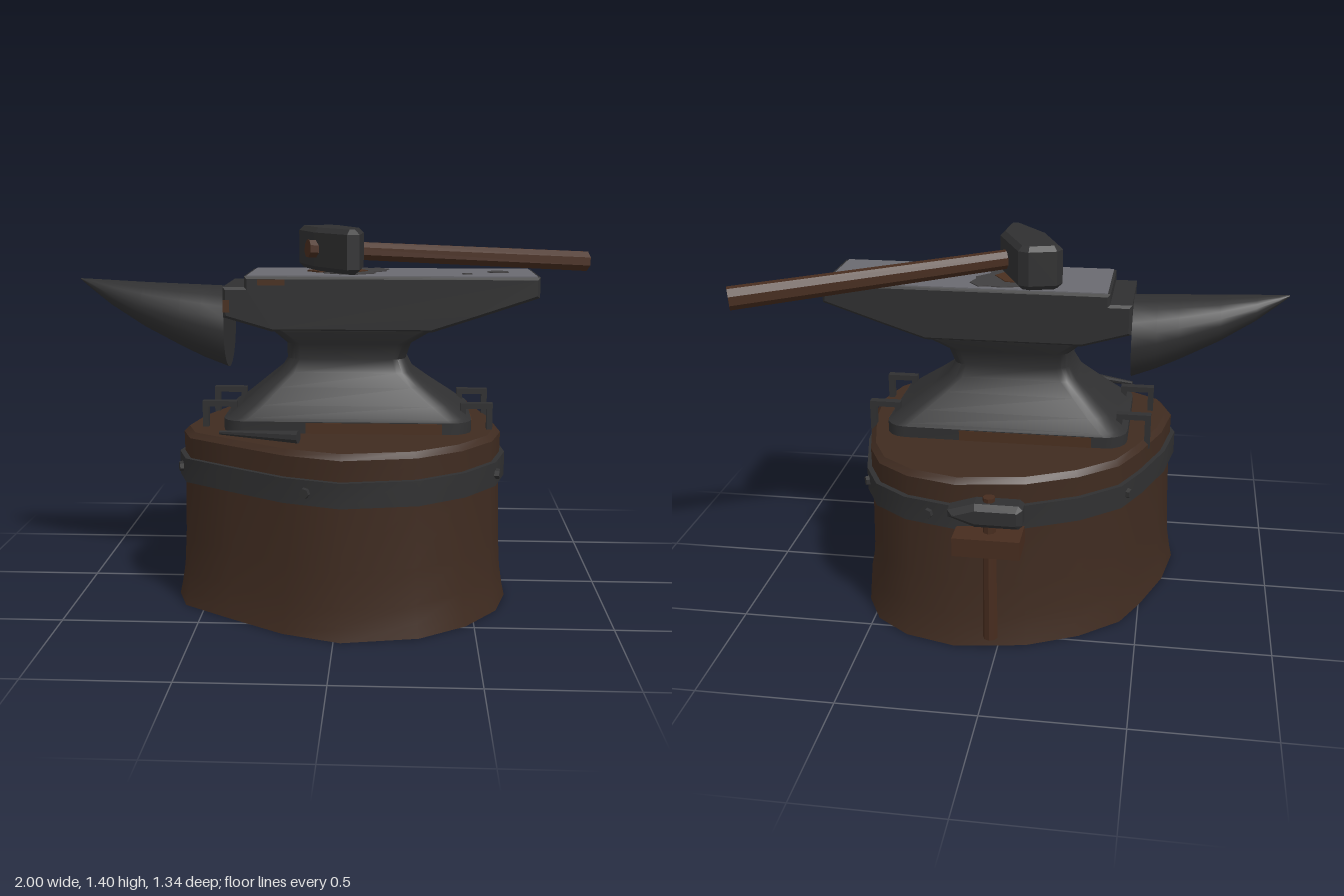
import * as THREE from 'three';
import { toCreasedNormals } from 'three/addons/utils/BufferGeometryUtils.js';

const flat = (name, color) => Object.assign(new THREE.MeshStandardMaterial({ color }), { name });
const M = {
  wood: flat('stump wood', 0x3f2b20),
  handle: flat('handle wood', 0x472c1e),
  iron: flat('dark iron', 0x303031),
  steel: flat('worn steel', 0x6a6a70),
  grime: flat('grimy steel', 0x413f40),
  rust: flat('rust', 0x4a3020),
};

// Plan outline of the stump, anticlockwise seen from above, as x, z
const OUTLINE = [
  [0.025, 0.663], [0.3, 0.61], [0.47, 0.49], [0.59, 0.33], [0.635, 0.16], [0.615, -0.05],
  [0.55, -0.32], [0.48, -0.455], [0.35, -0.55], [0.16, -0.6], [-0.1, -0.56], [-0.29, -0.47],
  [-0.435, -0.35], [-0.505, -0.21], [-0.585, 0], [-0.62, 0.2], [-0.575, 0.33], [-0.4, 0.45], [-0.185, 0.59],
];
const outlineAt = (i, s) => {
  const [x, z] = OUTLINE[i % OUTLINE.length];
  return [0.012 + (x - 0.012) * s, 0.035 + (z - 0.035) * s];
};
const outlineRing = (y, s) => OUTLINE.map((_, i) => {
  const [x, z] = outlineAt(i, s);
  return [x, y, z];
});

// Skin through rings of equal point count, closed at both ends
function loft(rings, crease = 0.7) {
  const n = rings[0].length, pos = rings.flat(2), idx = [];
  for (let r = 0; r < rings.length - 1; r++)
    for (let i = 0; i < n; i++) {
      const a = r * n + i, b = r * n + (i + 1) % n;
      idx.push(a, b, b + n, a, b + n, a + n);
    }
  [0, rings.length - 1].forEach((r, end) => {
    const c = pos.length / 3;
    for (let k = 0; k < 3; k++) pos.push(rings[r].reduce((s, p) => s + p[k], 0) / n);
    for (let i = 0; i < n; i++) {
      const a = r * n + i, b = r * n + (i + 1) % n;
      idx.push(...(end ? [c, a, b] : [c, b, a]));
    }
  });
  const g = new THREE.BufferGeometry();
  g.setAttribute('position', new THREE.Float32BufferAttribute(pos, 3));
  g.setIndex(idx);
  return toCreasedNormals(g, crease);
}

// Horizontal rounded rectangle
function roundRect(y, x0, x1, z0, z1, r) {
  const ring = [];
  for (let q = 0; q < 4; q++)
    for (let k = 0; k <= 4; k++) {
      const t = (q + k / 4) * Math.PI / 2;
      const cx = q < 2 ? x1 - r : x0 + r, cz = q === 0 || q === 3 ? z1 - r : z0 + r;
      ring.push([cx + r * Math.sin(t), y, cz + r * Math.cos(t)]);
    }
  return ring;
}

// Bevelled prism that keeps the outline's size
function prism(pts, depth, bevel = 0) {
  const shape = new THREE.Shape(pts.map(p => new THREE.Vector2(...p)));
  return new THREE.ExtrudeGeometry(shape, {
    depth: depth - 2 * bevel, bevelEnabled: bevel > 0, bevelSize: bevel,
    bevelThickness: bevel, bevelOffset: -bevel, bevelSegments: 1,
  }).translate(0, 0, bevel);
}
// Prism standing on a plan outline given as x, z
const planPrism = (pts, y, h, bevel) =>
  prism(pts.map(([x, z]) => [x, -z]), h, bevel).rotateX(-Math.PI / 2).translate(0, y, 0);

// Rod between two points
function rod(a, b, ra, rb, sides = 8) {
  const A = new THREE.Vector3(...a), B = new THREE.Vector3(...b), d = B.clone().sub(A);
  const g = new THREE.CylinderGeometry(rb, ra, d.length(), sides);
  g.applyQuaternion(new THREE.Quaternion().setFromUnitVectors(new THREE.Vector3(0, 1, 0), d.normalize()));
  g.translate(...A.add(B).multiplyScalar(0.5).toArray());
  return toCreasedNormals(g, 0.6);
}
// Box from its limits
const box = (x0, x1, y0, y1, z0, z1) =>
  new THREE.BoxGeometry(x1 - x0, y1 - y0, z1 - z0).translate((x0 + x1) / 2, (y0 + y1) / 2, (z0 + z1) / 2);

export function createModel() {
  const model = new THREE.Group();
  model.name = 'anvilOnStump';
  const add = (name, geo, mat) => {
    const m = new THREE.Mesh(geo, mat);
    m.name = name;
    model.add(m);
  };

  // Stump with flared foot and chamfered rim
  const levels = [[0, 1], [0.05, 0.983], [0.12, 0.966], [0.25, 0.954], [0.48, 0.946], [0.645, 0.95], [0.665, 0.918]];
  add('stump', loft(levels.map(([y, s]) => outlineRing(y, s))), M.wood);

  // Iron band and its bolts
  add('band', loft([[0.48, 0.978], [0.57, 0.978]].map(([y, s]) => outlineRing(y, s))), M.iron);
  for (const [i, t] of [[18, 0.4], [3, 0.05], [6, 0.15], [8, 0.5], [12, 0.3], [15, 0.5]]) {
    const [ax, az] = outlineAt(i, 0.978), [bx, bz] = outlineAt(i + 1, 0.978);
    const x = ax + (bx - ax) * t, z = az + (bz - az) * t, l = Math.hypot(bx - ax, bz - az);
    const nx = -(bz - az) / l * 0.014, nz = (bx - ax) / l * 0.014;
    add('bandBolt', rod([x - nx, 0.525, z - nz], [x + nx, 0.525, z + nz], 0.022, 0.018, 6), M.iron);
  }

  // Anvil foot and waist
  add('anvilBody', loft([
    [0.66, -0.43, 0.49, -0.225, 0.305, 0.08], [0.708, -0.43, 0.49, -0.225, 0.305, 0.08],
    [0.718, -0.41, 0.475, -0.213, 0.293, 0.08], [0.76, -0.36, 0.42, -0.175, 0.262, 0.08],
    [0.82, -0.29, 0.335, -0.13, 0.215, 0.07], [0.87, -0.23, 0.27, -0.095, 0.182, 0.06],
    [0.92, -0.2, 0.245, -0.085, 0.168, 0.05], [0.98, -0.2, 0.265, -0.1, 0.186, 0.05],
    [1.03, -0.25, 0.34, -0.13, 0.215, 0.04], [1.06, -0.3, 0.4, -0.13, 0.215, 0.04],
  ].map(a => roundRect(...a))), M.iron);

  // Top block with step and tapering heel
  add('anvilBlock', prism([
    [-0.43, 1.08], [-0.43, 1.192], [-0.35, 1.192], [-0.35, 1.232], [0.73, 1.232],
    [0.73, 1.157], [0.5, 1.08], [0.34, 1.028], [-0.25, 1.028],
  ], 0.357, 0.01).translate(0, 0, -0.137), M.iron);

  // Horn
  add('horn', loft([
    [-0.43, 0.87, 1.18, 0.165], [-0.52, 0.905, 1.184, 0.153], [-0.6, 0.943, 1.187, 0.14],
    [-0.75, 1.022, 1.193, 0.107], [-0.88, 1.105, 1.2, 0.062], [-0.96, 1.168, 1.204, 0.025], [-1, 1.201, 1.206, 0.003],
  ].map(([x, lo, hi, w]) => Array.from({ length: 20 }, (_, i) => {
    const t = i / 20 * Math.PI * 2;
    return [x, (lo + hi) / 2 + (hi - lo) / 2 * Math.sin(t), 0.041 + w * Math.cos(t)];
  }))), M.iron);

  // Working face with its holes and worn patch
  add('workingFace', box(-0.34, 0.72, 1.228, 1.235, -0.128, 0.211), M.steel);
  add('squareHole', new THREE.CylinderGeometry(0.042, 0.042, 0.004, 8).rotateY(Math.PI / 8).translate(0.59, 1.236, 0.04), M.grime);
  add('roundHole', new THREE.CylinderGeometry(0.019, 0.019, 0.004, 8).translate(0.47, 1.236, 0.125), M.grime);
  add('wornPatch', planPrism([
    [-0.09, 0], [-0.05, -0.08], [0.05, -0.11], [0.11, -0.1], [0.14, -0.11], [0.18, -0.06],
    [0.165, -0.01], [0.17, 0.02], [0.12, 0.075], [0.13, 0.12], [0.05, 0.18], [-0.06, 0.12],
  ], 1.234, 0.004), M.grime);
  add('faceRust', planPrism([[-0.13, 0.04], [-0.06, -0.06], [0.05, -0.04], [0.1, 0.04], [0.06, 0.1], [-0.08, 0.1]], 1.236, 0.005), M.rust);

  // Rust stains on the sides
  add('blockRust', box(-0.3, -0.2, 1.2, 1.221, 0.216, 0.222), M.rust);
  add('stepRust', box(-0.429, -0.405, 1.1, 1.145, 0.216, 0.222), M.rust);
  add('footRustFront', box(-0.12, 0.38, 0.664, 0.705, 0.302, 0.308), M.rust);
  add('footRustBack', box(-0.3, 0.2, 0.664, 0.705, -0.228, -0.222), M.rust);
  add('footRustSide', box(0.487, 0.493, 0.664, 0.705, 0.1, 0.225), M.rust);
  add('footRustSide', box(0.487, 0.493, 0.664, 0.705, -0.145, -0.04), M.rust);

  // Staples holding the foot down
  for (const z of [0.19, -0.105])
    for (const [inner, outer] of [[0.45, 0.57], [-0.385, -0.515]]) {
      const s = Math.sign(outer), span = (a, b) => [Math.min(a, b), Math.max(a, b)];
      add('stapleBar', box(...span(inner, outer), 0.742, 0.763, z - 0.016, z + 0.016), M.iron);
      add('stapleLeg', box(...span(outer, outer - s * 0.022), 0.63, 0.75, z - 0.016, z + 0.016), M.iron);
      add('stapleLeg', box(...span(inner, inner + s * 0.022), 0.69, 0.75, z - 0.016, z + 0.016), M.iron);
    }

  // Large hammer lying on the face
  add('hammerHead', planPrism([
    [-0.172, -0.1], [-0.155, -0.135], [-0.055, -0.165], [-0.015, -0.15],
    [0.085, 0.08], [0.075, 0.24], [0.03, 0.245], [-0.1, 0.08],
  ], 1.24, 0.162, 0.018), M.iron);
  add('hammerHandle', rod([-0.125, 1.325, 0.087], [0.985, 1.243, -0.41], 0.035, 0.043), M.handle);

  // Chisel on the stump
  add('chisel', rod([-0.42, 0.69, 0.41], [-0.13, 0.695, 0.49], 0.008, 0.024), M.iron);

  // Small hammer hanging in a holder at the back
  add('holder', box(-0.095, 0.145, 0.42, 0.49, -0.675, -0.54), M.handle);
  add('smallHammerHead', prism([
    [-0.1, 0.535], [-0.085, 0.52], [0.07, 0.52], [0.165, 0.555], [0.165, 0.58], [0.07, 0.61], [-0.085, 0.61], [-0.1, 0.595],
  ], 0.095, 0.02).translate(0, 0, -0.655), M.iron);
  add('smallHammerHandle', rod([0.022, 0.055, -0.606], [0.022, 0.625, -0.606], 0.027, 0.022), M.handle);

  return model;
}
